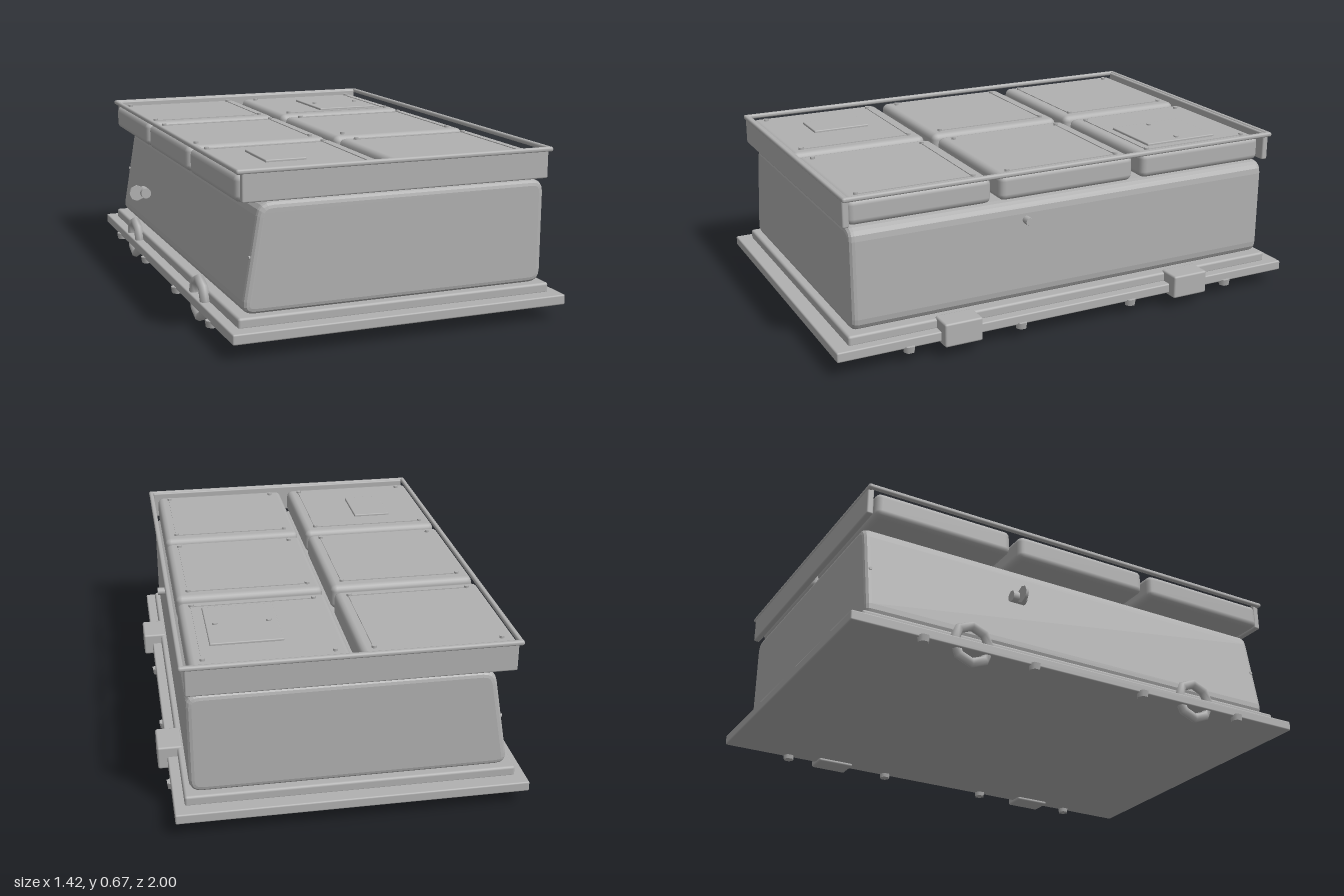
import * as THREE from 'three';
import { RoundedBoxGeometry } from 'three/addons/geometries/RoundedBoxGeometry.js';

export function createModel() {
  const model = new THREE.Group();
  model.name = 'storageCase';
  const grey = new THREE.MeshStandardMaterial({ color: 0xb0b0b0 });
  grey.name = 'plain grey';

  const add = (name, geometry, x, y, z) => {
    const mesh = new THREE.Mesh(geometry, grey);
    mesh.name = name;
    mesh.position.set(x, y, z);
    model.add(mesh);
    return mesh;
  };
  // Box given by its limits, with softened edges
  const block = (name, x0, x1, y0, y1, z0, z1, r = 0.006) =>
    add(name, new RoundedBoxGeometry(x1 - x0, y1 - y0, z1 - z0, 2, r),
      (x0 + x1) / 2, (y0 + y1) / 2, (z0 + z1) / 2);
  // Polygon with rounded corners
  const roundedShape = (corners, r) => {
    const shape = new THREE.Shape();
    const pts = corners.map(([x, y]) => new THREE.Vector2(x, y));
    pts.forEach((p, i) => {
      const prev = pts[(i + pts.length - 1) % pts.length];
      const next = pts[(i + 1) % pts.length];
      const a = p.clone().add(prev.clone().sub(p).setLength(r));
      const b = p.clone().add(next.clone().sub(p).setLength(r));
      if (i === 0) shape.moveTo(a.x, a.y); else shape.lineTo(a.x, a.y);
      shape.quadraticCurveTo(p.x, p.y, b.x, b.y);
    });
    shape.closePath();
    return shape;
  };

  // Stepped base
  block('basePlate', -0.67, 0.67, 0.062, 0.102, -1, 1);
  block('basePlinth', -0.63, 0.63, 0.095, 0.138, -0.94, 0.94, 0.01);

  // Body with one sloping side
  const bevel = 0.022;
  const body = new THREE.ExtrudeGeometry(
    roundedShape([[-0.608, 0.137], [0.61, 0.137], [0.61, 0.542], [-0.538, 0.542]], 0.05),
    { depth: 1.83 - 2 * bevel, bevelEnabled: true, bevelSize: bevel, bevelOffset: -bevel,
      bevelThickness: bevel, bevelSegments: 3, curveSegments: 4 });
  add('body', body, 0, 0, -0.915 + bevel);

  // Six cushion-like lid panels with screws and trim lines
  const screwGeo = new THREE.CylinderGeometry(0.01, 0.01, 0.012, 8);
  for (const x0 of [-0.625, 0]) {
    [-0.905, -0.29, 0.335].forEach((z0, row) => {
      const x1 = x0 + 0.59, z1 = z0 + (row === 1 ? 0.59 : 0.575);
      block('lidPanel', x0, x1, 0.545, 0.647, z0, z1, 0.025);
      const xa = x0 + 0.055, xb = x1 - 0.053, za = z0 + 0.055, zb = z1 - 0.053;
      for (const x of [xa, xb]) for (const z of [za, zb]) add('panelScrew', screwGeo, x, 0.65, z);
      const zt = row === 0 ? zb : za;
      add('panelTrim', new THREE.BoxGeometry(0.008, 0.004, zb - za), xb, 0.648, (za + zb) / 2);
      add('panelTrim', new THREE.BoxGeometry(xb - xa, 0.004, 0.008), (xa + xb) / 2, 0.648, zt);
    });
  }

  // Thin plates on two panels
  block('hatchPlate', 0.225, 0.5, 0.643, 0.656, -0.74, -0.415, 0.004);
  for (const x of [0.26, 0.465]) add('hatchScrew', screwGeo, x, 0.656, -0.575);
  block('smallPlate', -0.45, -0.29, 0.643, 0.656, 0.49, 0.73, 0.004);

  // End walls and the rail round the lid
  for (const s of [-1, 1]) {
    block('endWall', -0.61, 0.61, 0.55, 0.665, s * 0.924 - 0.013, s * 0.924 + 0.013);
    block('endRail', -0.63, 0.63, 0.651, 0.67, s * 0.93 - 0.01, s * 0.93 + 0.01, 0.008);
    block('sideRail', s * 0.619 - 0.01, s * 0.619 + 0.01, 0.651, 0.67, -0.94, 0.94, 0.008);
  }

  // Hinge blocks and ring handles
  const ringGeo = new THREE.TorusGeometry(0.075, 0.02, 6, 8);
  for (const z of [-0.51, 0.51]) {
    block('hingeBlock', 0.61, 0.708, 0.05, 0.145, z - 0.078, z + 0.078, 0.008);
    add('ringHandle', ringGeo, -0.645, 0.097, z).rotation.y = Math.PI / 2;
  }

  // Bolts below the edge of the base
  const boltGeo = new THREE.CylinderGeometry(0.026, 0.022, 0.026, 6);
  for (const x of [-0.66, 0.66]) for (const z of [-0.715, -0.25, 0.245, 0.715])
    add('baseBolt', boltGeo, x, 0.058, z);

  // Side knob
  add('sideKnob', new THREE.CylinderGeometry(0.016, 0.016, 0.04, 12), 0.622, 0.466, 0.2)
    .rotation.z = Math.PI / 2;

  // Latch: thin disc and short barrel
  add('latchDisc', new THREE.CylinderGeometry(0.034, 0.034, 0.012, 8), -0.681, 0.345, -0.31)
    .rotation.x = Math.PI / 2;
  add('latchBarrel', new THREE.CylinderGeometry(0.022, 0.022, 0.06, 16), -0.646, 0.345, -0.312)
    .rotation.x = Math.PI / 2;

  // Small pegs near the ends of the sloping side
  for (const z of [-0.895, 0.895])
    add('sidePeg', new THREE.CylinderGeometry(0.007, 0.007, 0.035, 8), -0.558, 0.343, z)
      .rotation.z = Math.PI / 2;

  return model;
}
